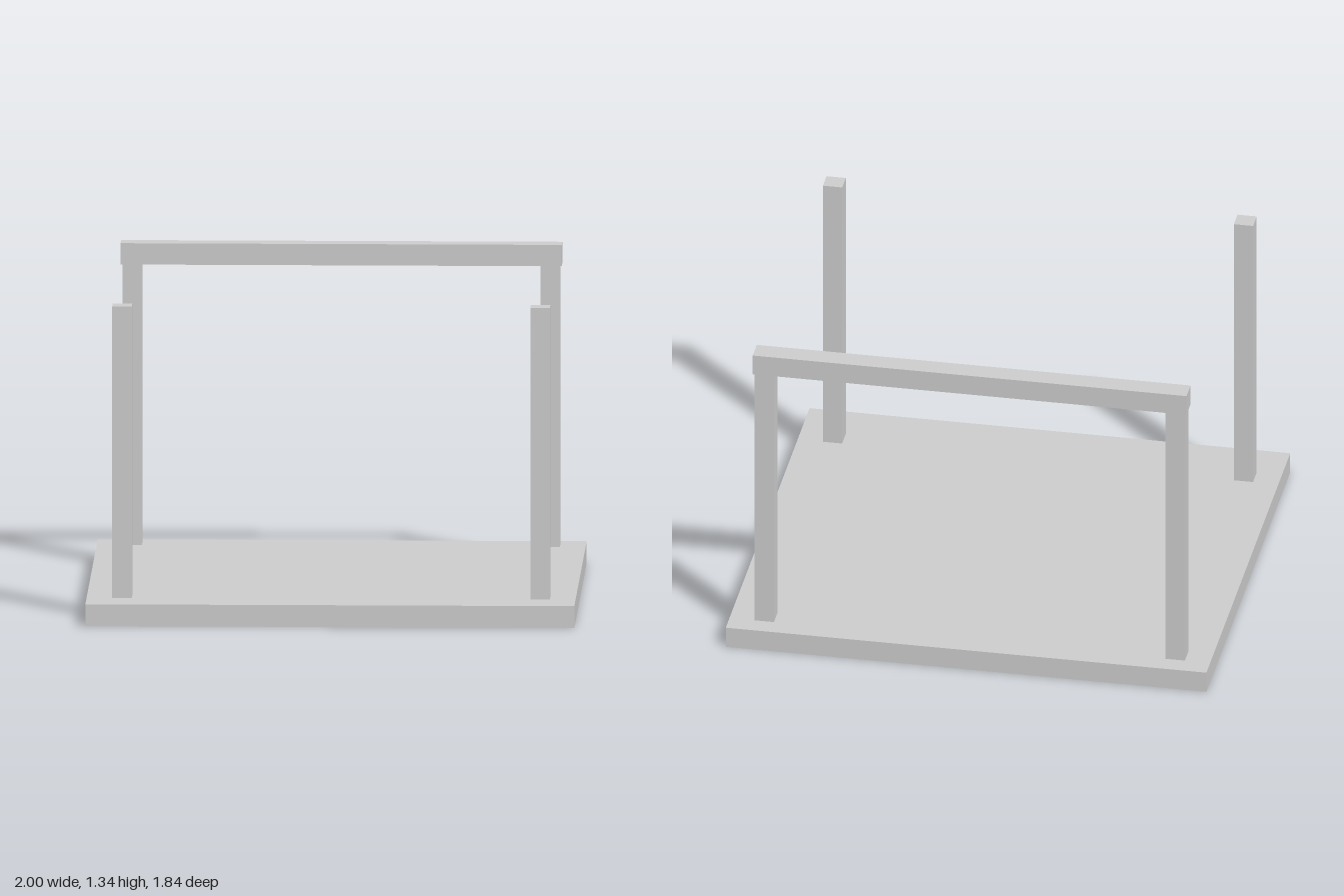
import * as THREE from 'three';

export function createModel() {
  const model = new THREE.Group();
  const material = new THREE.MeshStandardMaterial({ color: 0xcccccc, flatShading: true });

  // Box placed by its centre in x and z and by its bottom and top heights
  function addBox(name, width, depth, bottom, top, x, z) {
    const mesh = new THREE.Mesh(new THREE.BoxGeometry(width, top - bottom, depth), material);
    mesh.name = name;
    mesh.position.set(x, (bottom + top) / 2, z);
    model.add(mesh);
  }

  const slabTop = 0.09;
  const postTop = 1.295;
  const postSize = 0.08;

  // Base slab
  addBox('baseSlab', 2, 1.844, 0, slabTop, 0, 0);

  // Four corner posts, mirrored left and right
  for (const [side, x] of [['Left', 0.855], ['Right', -0.855]]) {
    addBox('front' + side + 'Post', postSize, postSize, slabTop, postTop, x, 0.7);
    addBox('back' + side + 'Post', postSize, postSize, slabTop, postTop, x, -0.8);
  }

  // Crossbeam capping the back posts
  addBox('backBeam', 1.805, 0.09, 1.25, 1.338, 0, -0.8);

  return model;
}
